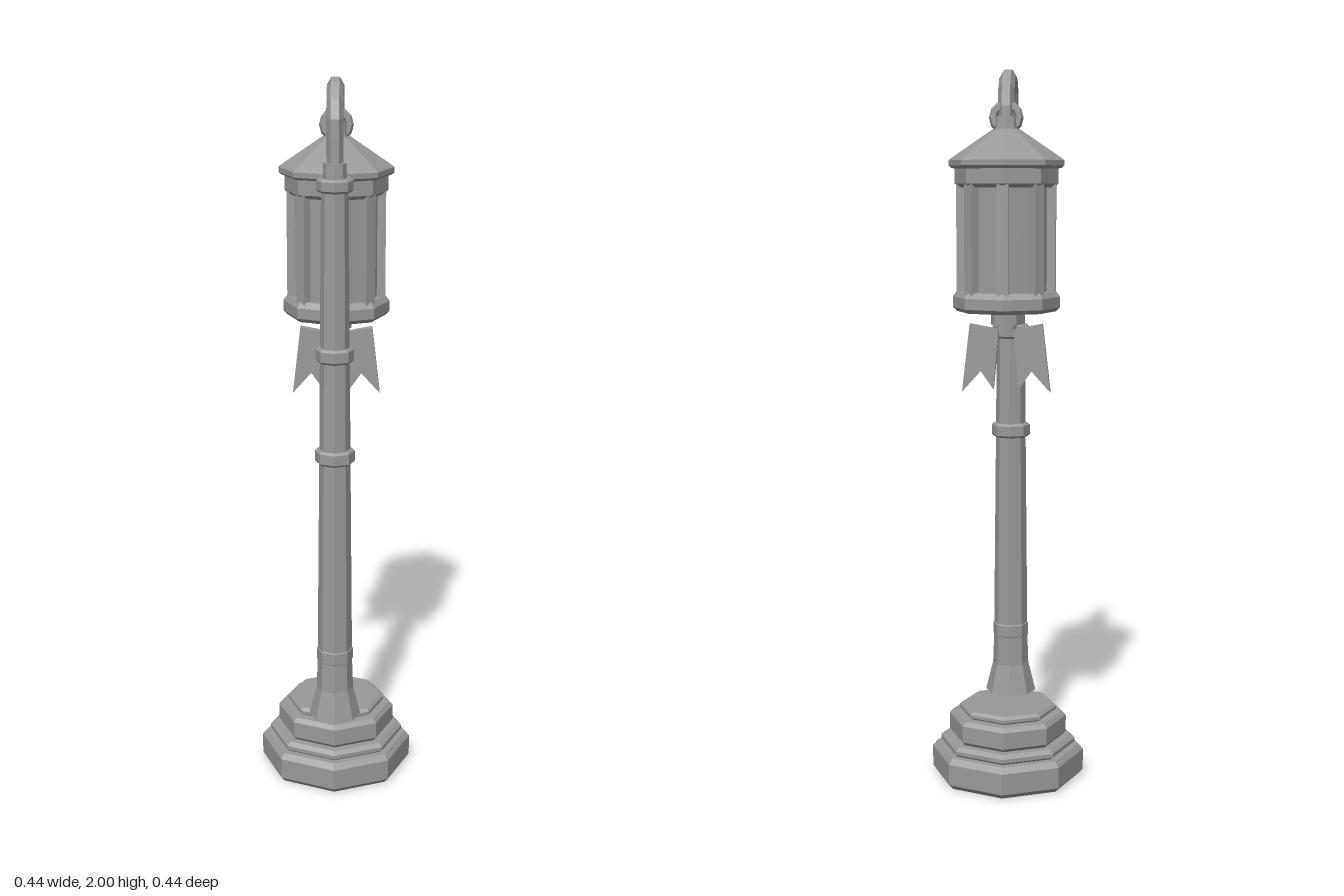
import * as THREE from 'three';

export function createModel() {
  const root = new THREE.Group();
  root.name = 'lanternPost';
  const iron = new THREE.MeshStandardMaterial({ color: 0x999999, flatShading: true });
  iron.name = 'grey iron';

  const add = (name, geometry, x = 0, y = 0, z = 0, parent = root) => {
    const mesh = new THREE.Mesh(geometry, iron);
    mesh.name = name;
    mesh.position.set(x, y, z);
    parent.add(mesh);
    return mesh;
  };
  // Octagonal turned part from [radius, height] pairs, bottom to top
  const turned = (profile) =>
    new THREE.LatheGeometry(profile.map(([r, y]) => new THREE.Vector2(r, y)), 8);

  const POLE_Z = 0.12;
  const LAMP_Z = -0.053;

  // Stepped base with bevelled edges
  add('base', turned([
    [0, 0], [0.205, 0], [0.218, 0.014], [0.218, 0.074], [0.205, 0.09],
    [0.185, 0.09], [0.194, 0.097], [0.194, 0.108], [0.182, 0.118],
    [0.16, 0.118], [0.168, 0.128], [0.168, 0.175], [0.158, 0.187],
    [0.13, 0.187], [0.139, 0.193], [0.139, 0.202], [0.13, 0.21], [0, 0.21],
  ]));

  // Tapered pole with a flared foot
  add('pole', turned([
    [0, 0.21], [0.073, 0.21], [0.052, 0.295], [0.049, 0.38], [0.043, 0.97],
    [0.036, 1.74], [0.032, 1.745], [0.03, 1.785], [0, 1.785],
  ]), 0, 0, POLE_Z);

  // Collars round the pole
  for (const [y, r, h] of [[0.398, 0.051, 0.045], [0.99, 0.055, 0.04], [1.275, 0.052, 0.04], [1.728, 0.049, 0.036]]) {
    const b = 0.006;
    add('collar', turned([
      [0, -h / 2], [r - b, -h / 2], [r, -h / 2 + b], [r, h / 2 - b], [r - b, h / 2], [0, h / 2],
    ]), 0, y, POLE_Z);
  }

  // Bent hook arm
  const arm = new THREE.CurvePath();
  const bends = [[1.76, 0.12], [1.915, 0.12], [1.965, 0.085], [1.978, 0.04], [1.97, -0.015], [1.935, -0.052], [1.85, -0.054]]
    .map(([y, z]) => new THREE.Vector3(0, y, z));
  add('hookArm', new THREE.TubeGeometry(new THREE.CatmullRomCurve3(bends, false, 'catmullrom', 0.3), 10, 0.022, 6));

  // Hanging lantern
  const lantern = new THREE.Group();
  lantern.name = 'lantern';
  lantern.position.z = LAMP_Z;
  root.add(lantern);

  add('hangingRing', new THREE.TorusGeometry(0.035, 0.012, 6, 12), 0, 1.865, 0, lantern);
  add('roofCap', new THREE.CylinderGeometry(0.03, 0.034, 0.04, 8), 0, 1.848, 0, lantern);
  add('roof', turned([
    [0, 1.68], [0.13, 1.68], [0.141, 1.69], [0.141, 1.73], [0.15, 1.732],
    [0.157, 1.738], [0.157, 1.752], [0.147, 1.76], [0.036, 1.835], [0, 1.835],
  ]), 0, 0, 0, lantern);
  add('panes', new THREE.CylinderGeometry(0.118, 0.118, 0.3, 8), 0, 1.54, 0, lantern);
  add('lanternFloor', turned([
    [0, 1.345], [0.136, 1.345], [0.147, 1.356], [0.147, 1.385], [0.136, 1.4], [0, 1.4],
  ]), 0, 0, 0, lantern);
  add('stem', new THREE.CylinderGeometry(0.042, 0.042, 0.04, 8), 0, 1.328, 0, lantern);
  add('stemTip', new THREE.CylinderGeometry(0.028, 0.028, 0.03, 8), 0, 1.308, 0, lantern);

  // Corner posts between the panes
  for (let i = 0; i < 8; i++) {
    const a = (i * Math.PI) / 4;
    const post = add('cornerPost', new THREE.BoxGeometry(0.032, 0.3, 0.03),
      Math.sin(a) * 0.12, 1.54, Math.cos(a) * 0.12, lantern);
    post.rotation.y = a;
  }

  // Pair of swallow-tailed ribbons
  for (const s of [-1, 1]) {
    const shape = new THREE.Shape([
      [0.02, 1.295], [0.035, 1.13], [0.07, 1.18], [0.122, 1.122], [0.1, 1.31],
    ].map(([x, y]) => new THREE.Vector2(s * x, y)));
    add(s > 0 ? 'leftRibbon' : 'rightRibbon',
      new THREE.ExtrudeGeometry(shape, { depth: 0.026, bevelEnabled: false }), 0, 0, -0.013, lantern);
  }

  return root;
}
